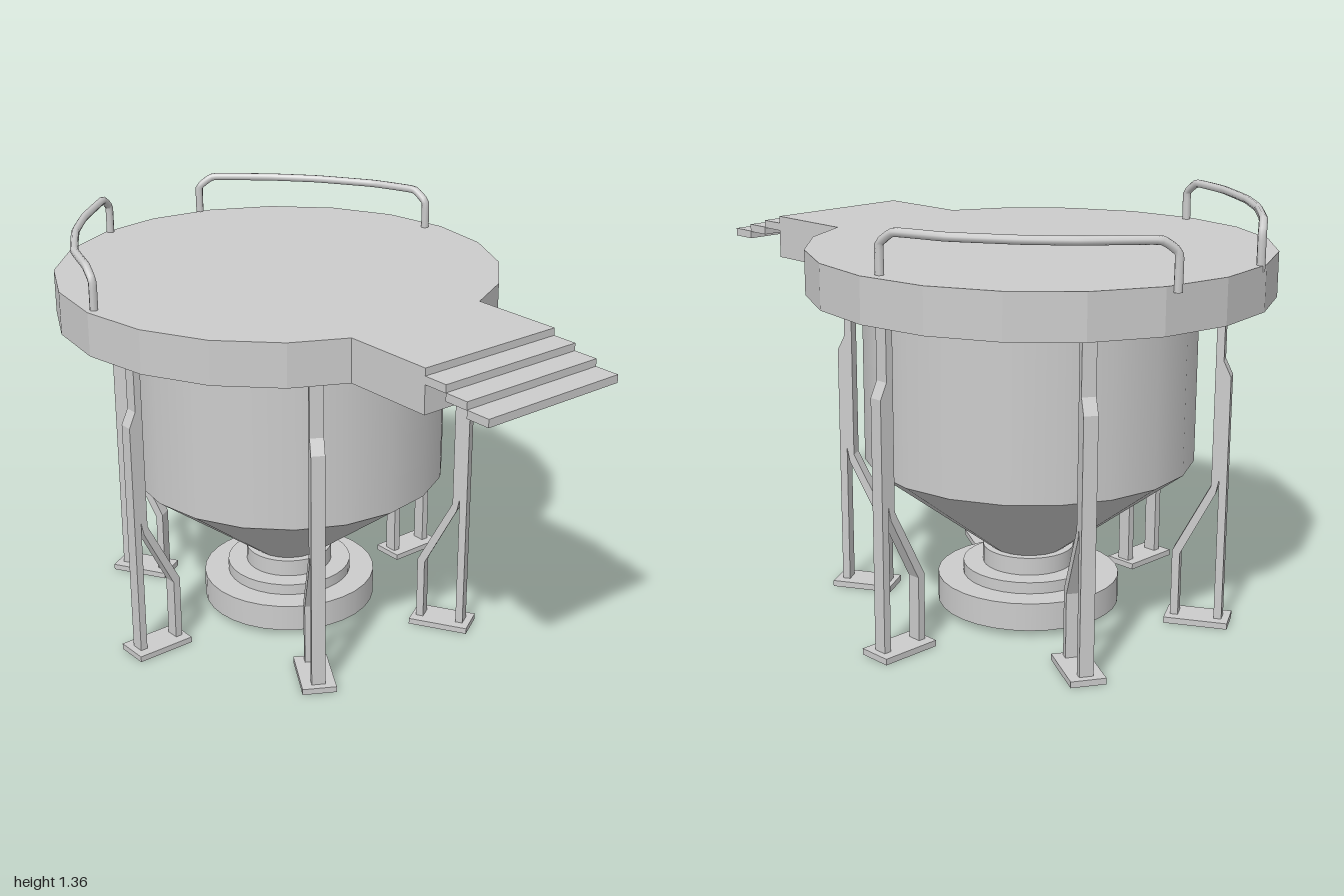
import * as THREE from 'three';

const V = (x, y, z) => new THREE.Vector3(x, y, z);

export function createModel() {
  const root = new THREE.Group();
  root.name = 'hopperPlatform';
  const smooth = new THREE.MeshStandardMaterial({ color: 0xcccccc });
  const flat = new THREE.MeshStandardMaterial({ color: 0xcccccc, flatShading: true });
  const AXIS = -0.217; // z of the vessel axis

  const add = (parent, name, geometry, material, x = 0, y = 0, z = 0) => {
    const mesh = new THREE.Mesh(geometry, material);
    mesh.name = name;
    mesh.position.set(x, y, z);
    parent.add(mesh);
    return mesh;
  };
  // Round part between two heights
  const drum = (name, rTop, rBottom, y0, y1, z, sides, material) =>
    add(root, name, new THREE.CylinderGeometry(rTop, rBottom, y1 - y0, sides), material, 0, (y0 + y1) / 2, z);
  // Box between two heights and two depths
  const slab = (name, width, y0, y1, z0, z1) =>
    add(root, name, new THREE.BoxGeometry(width, y1 - y0, z1 - z0), flat, 0, (y0 + y1) / 2, (z0 + z1) / 2);

  // Deck, walkway and steps going down to the front
  drum('deck', 0.74, 0.74, 1.077, 1.22, -0.26, 20, flat);
  slab('walkway', 0.524, 1.077, 1.22, 0.3, 0.745);
  for (let i = 0; i < 3; i++) {
    const top = 1.196 - i * 0.0243, z = 0.745 + i * 0.085;
    slab('step' + (i + 1), 0.524, top - 0.026, top, z, z + 0.085);
  }

  // Vessel with conical bottom, on stacked outlet discs
  drum('vesselWall', 0.537, 0.537, 0.525, 1.08, AXIS, 20, smooth);
  drum('vesselCone', 0.537, 0.125, 0.21, 0.525, AXIS, 20, smooth);
  drum('outletCollar', 0.15, 0.15, 0.15, 0.21, AXIS, 32, smooth);
  drum('outletFlange', 0.216, 0.216, 0.112, 0.152, AXIS, 32, smooth);
  drum('outletBase', 0.3, 0.3, 0.022, 0.114, AXIS, 32, smooth);

  // Leg outline: post stepping outward, with a brace bending inward
  const legShape = new THREE.Shape([
    [0.603, 1.08], [0.603, 0.47], [0.485, 0.24], [0.485, 0.015], [0.51, 0.015], [0.51, 0.23],
    [0.618, 0.445], [0.627, 0.49], [0.627, 0.015], [0.652, 0.015], [0.652, 0.83], [0.628, 0.88], [0.628, 1.08],
  ].map(([x, y]) => new THREE.Vector2(x, y)));
  const legWidth = 0.045;
  const legGeometry = new THREE.ExtrudeGeometry(legShape, { depth: legWidth, bevelEnabled: false });
  legGeometry.translate(0, 0, -legWidth / 2);
  const footGeometry = new THREE.BoxGeometry(0.206, 0.02, 0.112);
  for (let i = 0; i < 6; i++) {
    const leg = new THREE.Group();
    leg.name = 'leg' + (i + 1);
    leg.position.z = AXIS;
    leg.rotation.y = i * Math.PI / 3;
    add(leg, 'post', legGeometry, flat);
    add(leg, 'foot', footGeometry, flat, 0.572, 0.01, 0);
    root.add(leg);
  }

  // Curved handrails at the back
  const railTop = 1.348;
  for (const side of [1, -1]) {
    const shift = side > 0 ? -0.02 : 0;
    const path = [
      [0.71, 1.2, -0.27], [0.71, 1.31, -0.27], [0.70, railTop, -0.32], [0.645, railTop, -0.476],
      [0.53, railTop, -0.656], [0.418, railTop, -0.783], [0.255, railTop, -0.925],
      [0.212, 1.31, -0.955], [0.212, 1.2, -0.955],
    ].map(([x, y, z]) => V(side * x + shift, y, z + shift));
    const curve = new THREE.CatmullRomCurve3(path, false, 'catmullrom', 0.15);
    add(root, side > 0 ? 'leftHandrail' : 'rightHandrail', new THREE.TubeGeometry(curve, 72, 0.0135, 8), smooth);
  }
  return root;
}
